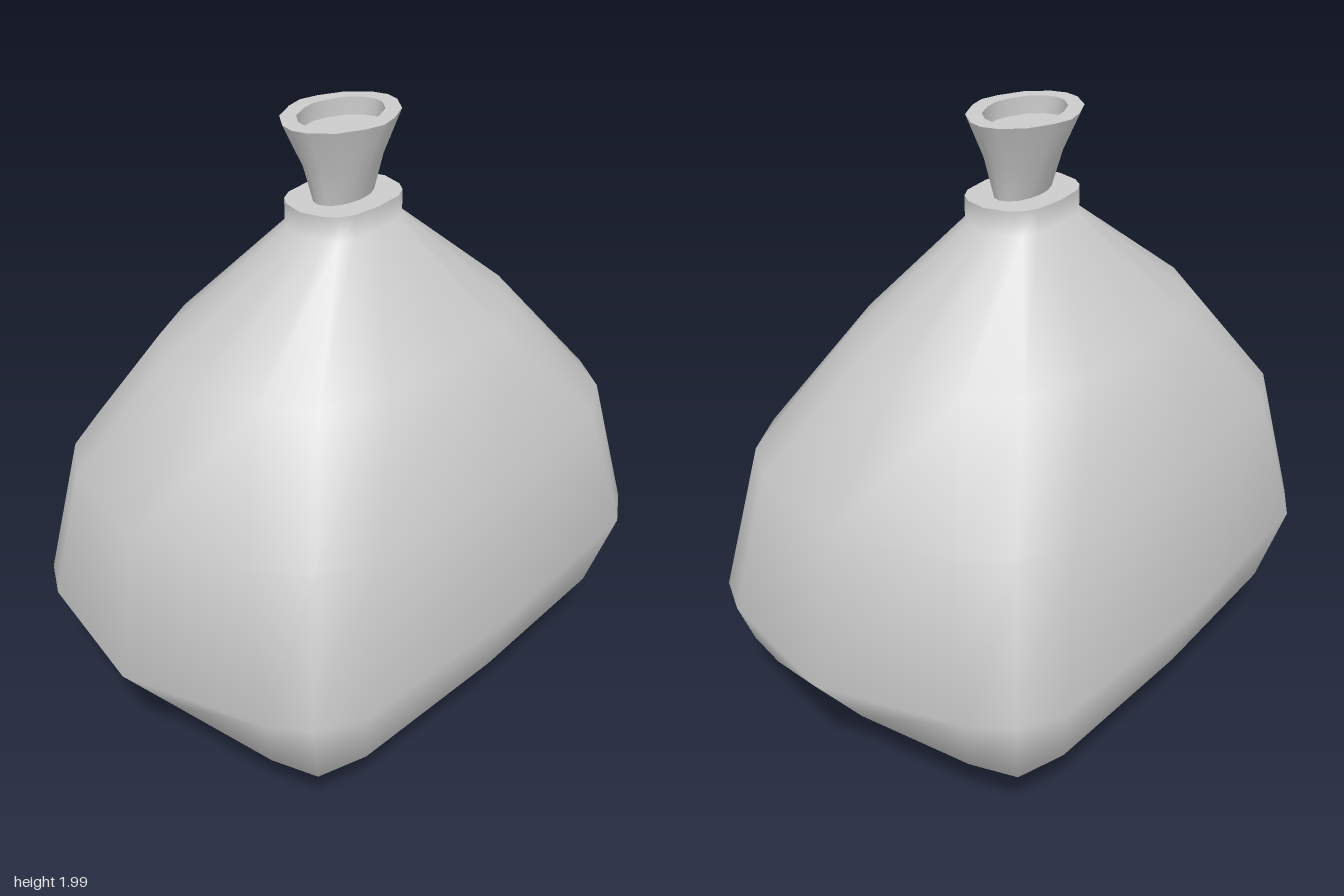
import * as THREE from 'three';

// Quarter outlines of the cross-section (unit size): round neck, boxy belly, squarer base
const OUTLINES = [
  [[1, 0], [0.92, 0.38], [0.71, 0.71], [0.38, 0.92], [0, 1]],
  [[1, 0], [0.87, 0.66], [0.79, 0.83], [0.66, 0.945], [0, 1]],
  [[1, 0], [0.97, 0.64], [0.92, 0.89], [0.72, 0.97], [0, 1]],
];
const SIDES = 16;

// Point i of the full outline; k blends from round (0) over boxy (1) to square (2)
function outline(i, k) {
  const q = Math.floor(i / 4), s = i % 4;
  const j = q % 2 ? 4 - s : s;
  const base = k > 1 ? 1 : 0;
  const [x, z] = [0, 1].map((c) =>
    THREE.MathUtils.lerp(OUTLINES[base][j][c], OUTLINES[base + 1][j][c], k - base));
  return [q === 1 || q === 2 ? -x : x, q >= 2 ? -z : z];
}

// Closed smooth loft through rings [y, halfX, halfZ, squareness, offsetX, offsetZ]
function loft(name, rings, material) {
  const positions = [], index = [];
  rings.forEach(([y, rx, rz, k, ox = 0, oz = 0], r) => {
    for (let i = 0; i < SIDES; i++) {
      const [x, z] = outline(i, k);
      positions.push(x * rx + ox, y, z * rz + oz);
      if (r === 0) continue;
      const n = (i + 1) % SIDES, lo = (r - 1) * SIDES, hi = r * SIDES;
      index.push(lo + i, hi + i, lo + n, hi + i, hi + n, lo + n);
    }
  });
  const geometry = new THREE.BufferGeometry();
  geometry.setAttribute('position', new THREE.Float32BufferAttribute(positions, 3));
  geometry.setIndex(index);
  geometry.computeVertexNormals();
  const mesh = new THREE.Mesh(geometry, material);
  mesh.name = name;
  return mesh;
}

export function createModel() {
  const group = new THREE.Group();
  group.name = 'sack';
  const cloth = new THREE.MeshStandardMaterial({ color: 0xcccccc, side: THREE.DoubleSide });

  // Rings shared by neighbouring parts, so that their edges stay sharp
  const collarEdge = [1.735, 0.19, 0.142, 0.5, -0.01, 0];
  const flareBase = [1.735, 0.115, 0.068, 0, -0.01, 0];
  const rimOuter = [1.985, 0.209, 0.164, -0.3, -0.01, -0.01];
  const rimInner = [1.985, 0.155, 0.112, -0.2, -0.01, -0.01];
  const holeFloor = [1.93, 0.155, 0.112, -0.2, -0.01, -0.01];

  // Belly, shoulders and collar wall; the underside narrows to a short ridge
  group.add(loft('body', [
    [0, 0.23, 0, 1],
    [0.03, 0.34, 0.2, 1],
    [0.065, 0.475, 0.37, 1.2],
    [0.11, 0.645, 0.49, 1.35],
    [0.26, 0.815, 0.62, 1.9],
    [0.5, 1, 0.702, 1.03],
    [0.975, 0.907, 0.635, 0.75, -0.017, 0.01],
    [1.33, 0.62, 0.455, 0.17, -0.03, 0],
    [1.66, 0.19, 0.142, 0.5, -0.01, 0],
    collarEdge,
  ], cloth));

  // Flat top of the collar
  group.add(loft('collarTop', [collarEdge, flareBase], cloth));

  // Flared mouth with its rim and a shallow recess
  group.add(loft('flare', [flareBase, [1.85, 0.145, 0.105, -0.2, -0.01, -0.004], rimOuter], cloth));
  group.add(loft('rim', [rimOuter, rimInner], cloth));
  group.add(loft('recessWall', [rimInner, holeFloor], cloth));
  group.add(loft('recessFloor', [holeFloor, [1.93, 0, 0, 0, -0.01, -0.01]], cloth));

  return group;
}
